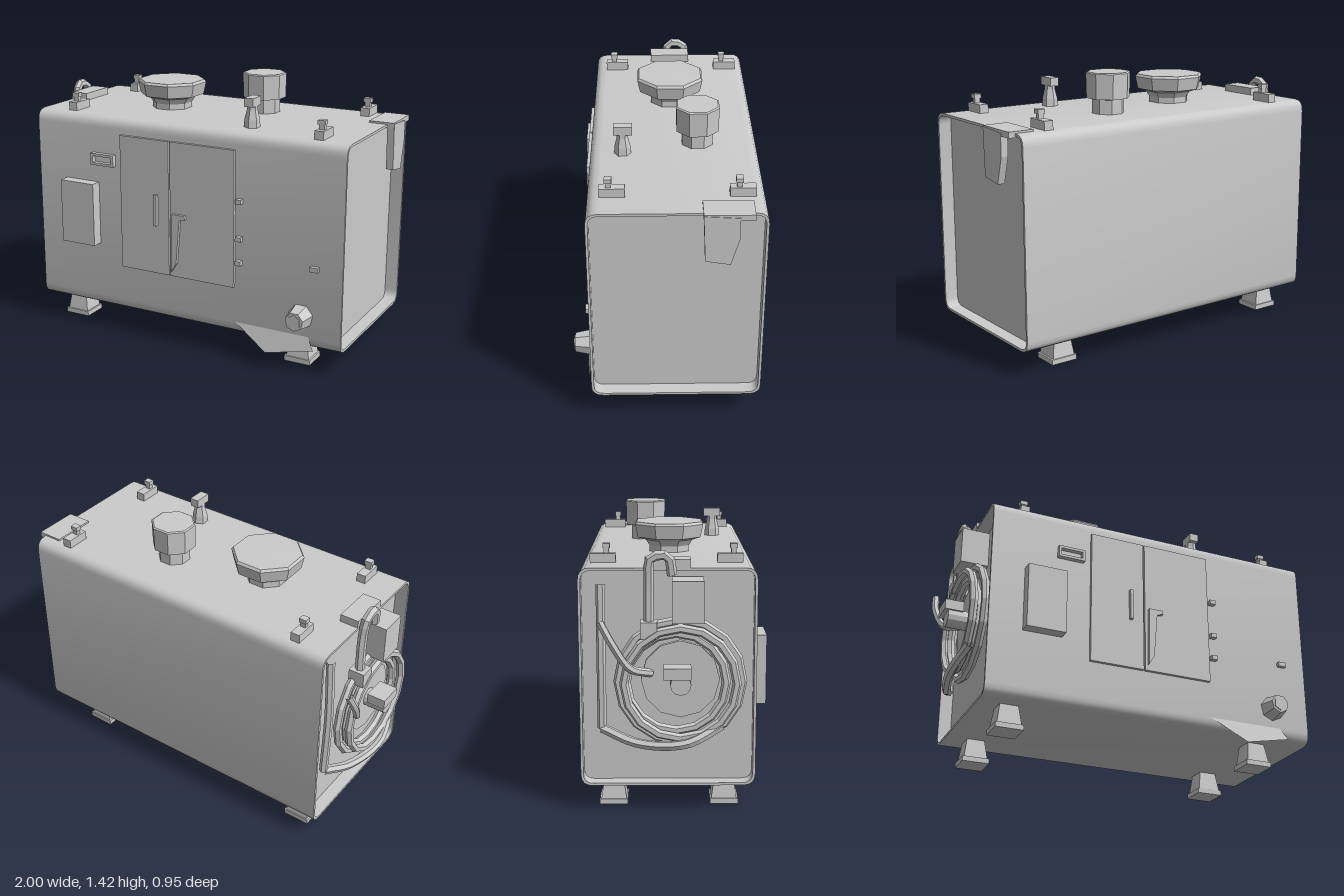
import * as THREE from 'three';
import { toCreasedNormals } from 'three/addons/utils/BufferGeometryUtils.js';

const flat = new THREE.MeshStandardMaterial({ color: 0xcccccc, flatShading: true });
const smooth = new THREE.MeshStandardMaterial({ color: 0xcccccc, side: THREE.DoubleSide });

export function createModel() {
  const model = new THREE.Group();

  const add = (name, geometry, x = 0, y = 0, z = 0, material = flat) => {
    const mesh = new THREE.Mesh(geometry, material);
    mesh.name = name;
    mesh.position.set(x, y, z);
    model.add(mesh);
    return mesh;
  };
  // Box given by its limits on each axis
  const box = (name, x0, x1, y0, y1, z0, z1) =>
    add(name, new THREE.BoxGeometry(x1 - x0, y1 - y0, z1 - z0), (x0 + x1) / 2, (y0 + y1) / 2, (z0 + z1) / 2);
  const lathe = (name, profile, sides, x, z, turn = 0) => {
    const g = new THREE.LatheGeometry(profile.map(([r, y]) => new THREE.Vector2(r, y)), sides);
    return add(name, g.rotateY(turn), x, 0, z);
  };
  const tube = (name, points, radius, segments = 14) => {
    const curve = new THREE.CatmullRomCurve3(points.map((p) => new THREE.Vector3(...p)));
    return add(name, new THREE.TubeGeometry(curve, segments, radius, 6));
  };
  // Extrude a shape drawn in (-z, y) along x
  const extrudeX = (shape, x0, x1) =>
    new THREE.ExtrudeGeometry(shape, { depth: x1 - x0, bevelEnabled: false, curveSegments: 4 })
      .rotateY(Math.PI / 2).translate(x0, 0, 0);
  const roundedRect = (target, x0, x1, y0, y1, r) => {
    target.moveTo(x0 + r, y0);
    target.lineTo(x1 - r, y0);
    target.quadraticCurveTo(x1, y0, x1, y0 + r);
    target.lineTo(x1, y1 - r);
    target.quadraticCurveTo(x1, y1, x1 - r, y1);
    target.lineTo(x0 + r, y1);
    target.quadraticCurveTo(x0, y1, x0, y1 - r);
    target.lineTo(x0, y0 + r);
    target.quadraticCurveTo(x0, y0, x0 + r, y0);
    return target;
  };

  // Rounded shell, open at both ends, with recessed end panels
  const shell = roundedRect(new THREE.Shape(), -0.388, 0.467, 0.13, 1.21, 0.06);
  shell.holes.push(roundedRect(new THREE.Path(), -0.375, 0.454, 0.143, 1.197, 0.05));
  add('shell', toCreasedNormals(extrudeX(shell, -0.86, 0.96), 0.6), 0, 0, 0, smooth);
  const panel = roundedRect(new THREE.Shape(), -0.378, 0.457, 0.14, 1.2, 0.05);
  add('rightEndPanel', extrudeX(panel, -0.79, -0.77));
  add('leftEndPanel', extrudeX(panel, 0.87, 0.89));

  // Flared feet
  for (const x of [-0.7, 0.69]) {
    for (const z of [0.24, -0.31]) {
      const post = new THREE.CylinderGeometry(0.065, 0.09, 0.12, 4).rotateY(Math.PI / 4);
      add('footPost', post, x, 0.085, z);
      box('footPad', x - 0.073, x + 0.073, 0, 0.027, z - 0.07, z + 0.07);
    }
  }

  // Lifting lugs on the roof corners
  for (const x of [-0.67, 0.785]) {
    for (const z of [0.265, -0.355]) {
      box('lugBase', x - 0.025, x + 0.025, 1.2, 1.255, z - 0.062, z + 0.062);
      box('lugPost', x - 0.014, x + 0.014, 1.25, 1.29, z + 0.005, z + 0.03);
      box('lugHead', x - 0.02, x + 0.02, 1.28, 1.302, z, z + 0.035);
    }
  }

  // Roof vents
  lathe('wideVent', [[0.11, 1.2], [0.11, 1.24], [0.13, 1.27], [0.175, 1.285], [0.19, 1.352], [0.18, 1.365], [0, 1.367]],
    8, -0.25, -0.03, Math.PI / 8);
  lathe('tallVent', [[0.085, 1.2], [0.085, 1.285], [0.115, 1.29], [0.118, 1.42], [0.11, 1.425], [0, 1.425]],
    8, 0.255, -0.16, Math.PI / 8);
  lathe('breatherPipe', [[0.043, 1.2], [0.04, 1.25], [0.028, 1.3], [0.028, 1.35], [0, 1.355]], 6, 0.37, 0.22);
  box('breatherCap', 0.345, 0.395, 1.32, 1.365, 0.17, 0.265);

  // Double door with handle, latch and hinges
  box('rightDoor', -0.32, -0.022, 0.39, 1.125, 0.37, 0.405);
  box('leftDoor', -0.014, 0.363, 0.39, 1.125, 0.37, 0.405);
  box('doorHandle', -0.105, -0.088, 0.66, 0.83, 0.4, 0.425);
  const latch = new THREE.Shape([[0, 0.42], [0.03, 0.47], [0.05, 0.71], [0.085, 0.72], [0.08, 0.74], [0.005, 0.74]]
    .map(([x, y]) => new THREE.Vector2(x, y)));
  add('doorLatch', new THREE.ExtrudeGeometry(latch, { depth: 0.02, bevelEnabled: false }), 0, 0, 0.402);
  for (const y of [0.53, 0.66, 0.86]) box('hinge', 0.375, 0.407, y - 0.012, y + 0.012, 0.38, 0.415);
  box('sideCatch', 0.79, 0.835, 0.555, 0.58, 0.38, 0.41);

  // Control box and framed slot
  box('controlBox', -0.68, -0.47, 0.495, 0.845, 0.37, 0.45);
  for (const y of [0.945, 0.995]) box('slotFrame', -0.505, -0.36, y, y + 0.014, 0.38, 0.415);
  for (const x of [-0.505, -0.374]) box('slotFrame', x, x + 0.014, 0.945, 1.009, 0.38, 0.415);

  // Drain port and splash plate
  add('drainPort', new THREE.CylinderGeometry(0.05, 0.07, 0.1, 7).rotateX(Math.PI / 2), 0.74, 0.3, 0.425);
  add('drainCap', new THREE.CylinderGeometry(0.038, 0.038, 0.03, 6).rotateX(Math.PI / 2), 0.74, 0.3, 0.465);
  const splash = new THREE.Shape([[0.36, 0.13], [0.56, 0.0], [0.82, 0.06], [0.78, 0.13]]
    .map(([x, y]) => new THREE.Vector2(x, y)));
  const plate = add('splashPlate', new THREE.ShapeGeometry(splash), 0, 0.075, 0.425, smooth);
  plate.rotation.x = -0.3;

  // Bracket hanging over the left end
  const bracket = new THREE.Shape([[0.16, 1.215], [0.17, 0.97], [0.29, 0.95], [0.33, 1.09], [0.33, 1.205]]
    .map(([x, y]) => new THREE.Vector2(x, y)));
  add('endBracket', extrudeX(bracket, 0.96, 0.998));
  box('bracketArm', 0.86, 0.995, 1.19, 1.22, -0.4, -0.16);

  // Hose reel at the right end
  const reel = (name, r, x, length) =>
    add(name, new THREE.CylinderGeometry(r, r, length, 12).rotateZ(Math.PI / 2), x, 0.67, 0.02);
  reel('reelDisc', 0.19, -0.85, 0.03);
  reel('reelHub', 0.05, -0.88, 0.2);
  box('reelNozzle', -1, -0.9, 0.7, 0.755, -0.06, 0.07);
  for (const [r, x, z] of [[0.27, -0.91, 0.02], [0.24, -0.88, 0], [0.3, -0.86, 0.02]]) {
    add('hoseCoil', new THREE.TorusGeometry(r, 0.022, 6, 16).rotateY(Math.PI / 2), x, 0.66, z);
  }

  // Pipes, valve box and lifting loop beside the reel
  box('valveBox', -0.95, -0.8, 0.96, 1.16, -0.02, 0.13);
  box('roofBar', -0.86, -0.76, 1.2, 1.25, -0.15, 0.07);
  tube('risingPipe', [[-0.84, 0.42, -0.36], [-0.85, 0.8, -0.36], [-0.84, 1.13, -0.36]], 0.022);
  tube('crossHose', [[-0.95, 0.97, -0.36], [-0.96, 0.86, -0.3], [-0.93, 0.74, -0.22], [-0.86, 0.7, -0.12]], 0.02);
  tube('upperPipe', [[-0.88, 0.92, -0.13], [-0.88, 1.15, -0.13], [-0.89, 1.26, -0.12], [-0.89, 1.27, -0.04],
    [-0.88, 1.18, -0.02]], 0.024);
  box('pipeJoint', -0.925, -0.84, 0.88, 0.96, -0.17, -0.09);
  tube('lowerHose', [[-0.84, 0.42, -0.36], [-0.9, 0.36, -0.18], [-0.94, 0.37, 0.05], [-0.9, 0.45, 0.22]], 0.024);
  return model;
}
